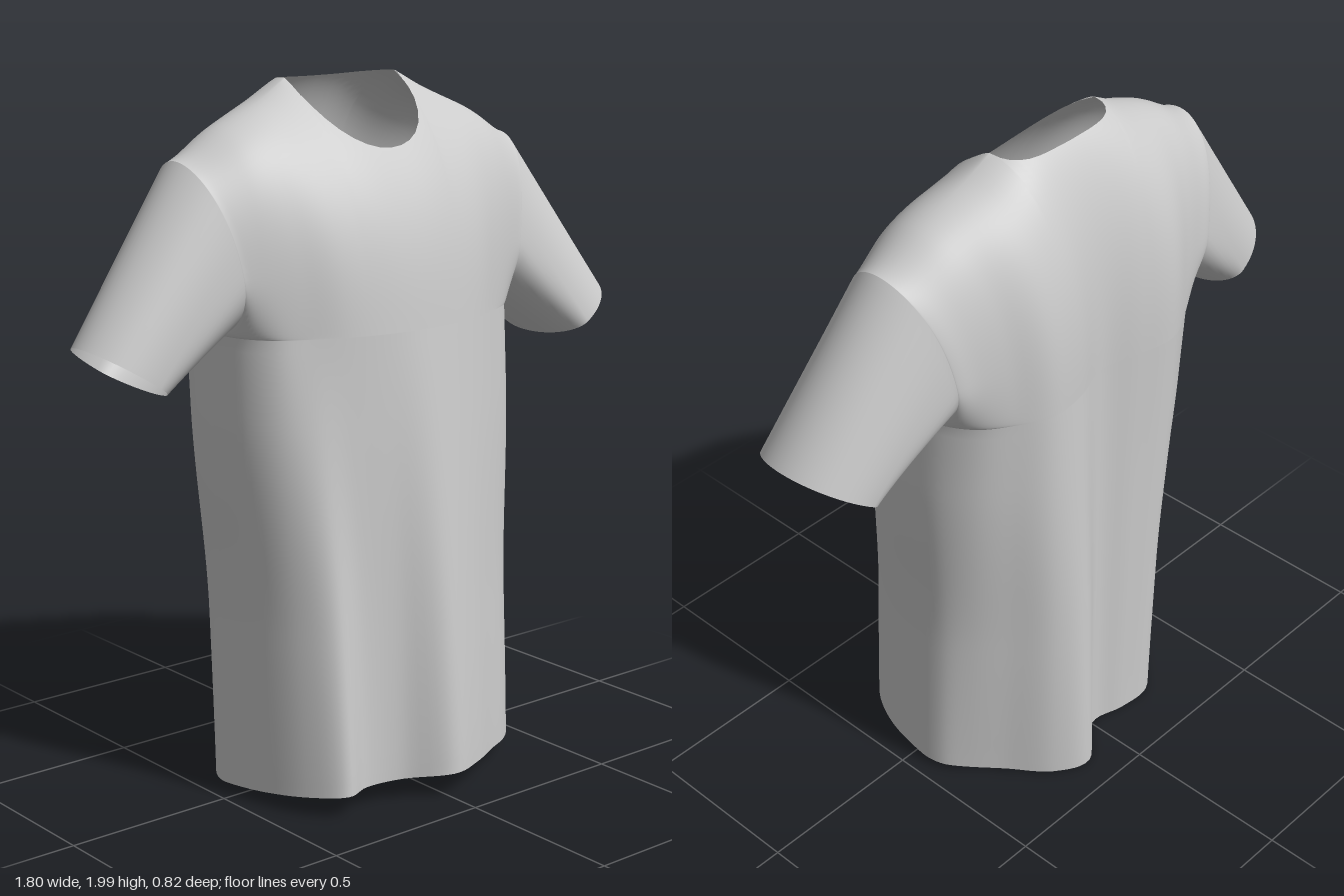
import * as THREE from 'three';
import { mergeVertices } from 'three/addons/utils/BufferGeometryUtils.js';

const HALF = 36;      // columns from the centre to the side seam
const NECK = 8;       // columns from the centre to the neck corner
const NECK_X = .198;  // half width of the neck opening
const LOW = 36;       // rows from hem to armpit
const HIGH = 32;      // rows from armpit to shoulder
const SLEEVE = 20;    // rings along a sleeve
const ARMPIT = 1.33;
const { lerp, clamp, smoothstep } = THREE.MathUtils;

// Smooth function through evenly spaced values, for t in 0..1
const spline = values => {
  const curve = new THREE.SplineCurve(values.map((v, i) => new THREE.Vector2(i, v)));
  return t => curve.getPoint(t).y;
};

// Rounding of the cloth from shoulder ridge (w = 0) to chest (w = 1)
const arc = w => Math.sqrt(1 - (1 - w) ** 2.5);
const slope = w => .8 * (1 - (1 - w) ** 3) + .2 * w;

// Per panel: depth of the cloth from -x to +x at the hem, at the armpit and where the armholes are open
const panels = {
  front: {
    hem: spline([-.05, .1, .24, .335, .305, .33, .415, .38, .32, .27, .2, .09, -.05]),
    chest: spline([-.05, .06, .14, .19, .24, .27, .28, .27, .24, .19, .14, .06, -.05]),
    open: spline([.13, .135, .155, .19, .24, .27, .28, .27, .24, .19, .155, .135, .13]),
    neckY: 1.81,
    round: (w, x) => lerp(slope(w), arc(w), smoothstep(Math.abs(x), .12, .45))
  },
  back: {
    hem: spline([-.05, -.11, -.18, -.25, -.33, -.33, -.31, -.405, -.36, -.25, -.17, -.11, -.05]),
    chest: spline([-.05, -.16, -.25, -.31, -.355, -.34, -.31, -.35, -.36, -.31, -.25, -.16, -.05]),
    open: spline([-.265, -.272, -.285, -.315, -.355, -.34, -.31, -.35, -.36, -.315, -.285, -.272, -.265]),
    neckY: 1.985,
    round: arc
  }
};

// Height and depth of the shoulder ridge, as if it ran on across the neck
const ridge = spline([2.03, 2.018, 1.945, 1.88, 1.8]);
const ridgeY = x => ridge(Math.min(1, Math.abs(x) / .58));
const ridgeZ = x => lerp(-.1, -.07, Math.abs(x) / .58);

// Top edge of a panel: neckline near the centre, then the shoulder seam
function topEdge(p, k) {
  const side = Math.sign(k), n = Math.abs(k);
  if (n < NECK) {
    const a = n / NECK * Math.PI / 2;
    return [side * NECK_X * Math.sin(a), lerp(ridgeY(NECK_X), p.neckY, Math.cos(a))];
  }
  const s0 = Math.sin(NECK / HALF * Math.PI / 2);
  const x = lerp(NECK_X, .58, (Math.sin(n / HALF * Math.PI / 2) - s0) / (1 - s0));
  return [side * x, ridgeY(x)];
}

// Point of a panel at column k (-HALF..HALF) and row r (0..LOW + HIGH)
function panelPoint(p, k, r) {
  const u = k / HALF, s = Math.sin(u * Math.PI / 2), q = (u + 1) / 2;
  const zHem = p.hem(q), zChest = p.chest(q);
  if (r <= LOW) {
    const v = r / LOW;
    const yHem = .005 + .075 * Math.max(0, (zHem + .42) / .84) ** 1.5;
    const y = lerp(yHem, ARMPIT, v);
    const width = lerp(.455, .487, smoothstep(y, .5, 1.1));
    return [width * s, y, lerp(zHem, zChest, v ** 1.2)];
  }
  const t = (1 - Math.cos((r - LOW) / HIGH * Math.PI)) / 2;
  const [tx, ty] = topEdge(p, k);
  const x = lerp(.487 * s, tx, t * t), y = lerp(ARMPIT, ty, t);
  const w = clamp((ridgeY(x) - y) / (ridgeY(x) - ARMPIT), 0, 1);
  // The side opens quickly above the armpit to form the armhole
  const opening = Math.sqrt(1 - Math.max(0, 1 - t / .35) ** 2);
  const depth = lerp(zChest, p.open(q), opening);
  // The ridge end is exact so both panels meet at the shoulder seam
  const z = w < 1e-9 ? ridgeZ(x) : lerp(ridgeZ(x), depth, p.round(w, x));
  return [x, y, z];
}

// Point of a sleeve: ring i from armhole to cuff, j around from the armpit up the front and down the back
function sleevePoint(side, i, j) {
  const onFront = j <= HIGH;
  const row = onFront ? j : 2 * HIGH - j;
  const start = panelPoint(onFront ? panels.front : panels.back, side * HALF, LOW + row);
  if (i === 0) return start;
  // The cuff is a tall arch above and a flat arch below
  const a = -Math.PI / 2 + j / HIGH * Math.PI, h = Math.sin(a);
  const halfDepth = side > 0 ? .18 : .148, midZ = side > 0 ? -.022 : -.055;
  const cuff = [
    side * (.75 + (h > 0 ? .15 : .07) * h),
    1.24 + (h > 0 ? .1 : .047) * h,
    midZ + halfDepth * Math.cos(a)
  ];
  const f = i / SLEEVE;
  return start.map((v, n) => lerp(v, cuff[n], f));
}

export function createModel() {
  const positions = [], index = [], parts = [];

  // Adds a grid of points as one named part of the cloth
  function addGrid(name, cols, rows, point, flip) {
    const base = positions.length / 3, first = index.length;
    for (let r = 0; r <= rows; r++)
      for (let c = 0; c <= cols; c++) positions.push(...point(c, r));
    for (let r = 0; r < rows; r++) {
      for (let c = 0; c < cols; c++) {
        const a = base + r * (cols + 1) + c, b = a + 1, d = a + cols + 1, e = d + 1;
        index.push(...(flip ? [a, e, b, a, d, e] : [a, b, e, a, e, d]));
      }
    }
    parts.push({ name, first, last: index.length });
  }

  // Front and back panels
  for (const [name, p] of Object.entries(panels))
    addGrid(name + 'Panel', 2 * HALF, LOW + HIGH, (c, r) => panelPoint(p, c - HALF, r), p === panels.back);

  // Sleeves
  for (const side of [1, -1])
    addGrid(side > 0 ? 'leftSleeve' : 'rightSleeve', SLEEVE, 2 * HIGH,
      (c, r) => sleevePoint(side, c, r), side < 0);

  // Weld the seams so the shading runs smoothly across the parts
  let cloth = new THREE.BufferGeometry();
  cloth.setAttribute('position', new THREE.Float32BufferAttribute(positions, 3));
  cloth.setIndex(index);
  cloth = mergeVertices(cloth, 1e-5);
  cloth.computeVertexNormals();

  // One mesh per part, sharing the welded points
  const material = new THREE.MeshStandardMaterial({ color: 0xcccccc, side: THREE.DoubleSide });
  const shirt = new THREE.Group();
  shirt.name = 'shirt';
  const welded = Array.from(cloth.index.array);
  for (const { name, first, last } of parts) {
    const geometry = new THREE.BufferGeometry();
    geometry.setAttribute('position', cloth.attributes.position);
    geometry.setAttribute('normal', cloth.attributes.normal);
    geometry.setIndex(welded.slice(first, last));
    const mesh = new THREE.Mesh(geometry, material);
    mesh.name = name;
    shirt.add(mesh);
  }
  return shirt;
}
